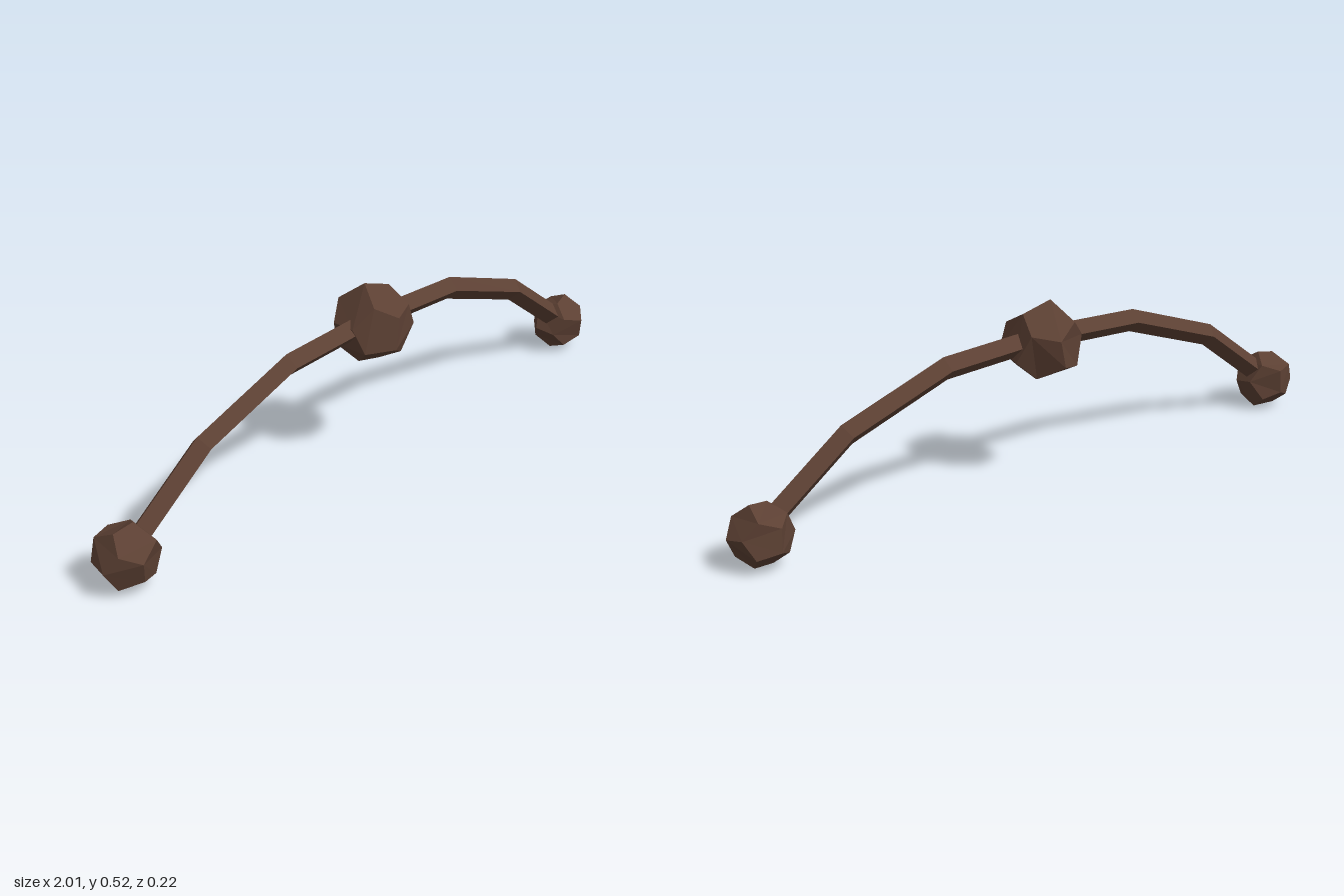
import * as THREE from 'three';

const material = new THREE.MeshStandardMaterial({ color: 0x5c4033, flatShading: true });

// Rough-cut knob: a dodecahedron whose corners are nudged by a repeatable rule
function knob(name, radius, position, quaternion, seed) {
  const geometry = new THREE.DodecahedronGeometry(radius);
  const p = geometry.attributes.position;
  const v = new THREE.Vector3();
  const nudge = (a, b, c) => Math.sin(Math.round(a / radius * 50) * 1.7 + Math.round(b / radius * 50) * 2.9
    + Math.round(c / radius * 50) * 4.3 + seed) * radius * 0.05;
  for (let i = 0; i < p.count; i++) {
    v.fromBufferAttribute(p, i);
    p.setXYZ(i, v.x + nudge(v.x, v.y, v.z), v.y + nudge(v.y, v.z, v.x), v.z + nudge(v.z, v.x, v.y));
  }
  geometry.computeVertexNormals();
  const mesh = new THREE.Mesh(geometry, material);
  mesh.name = name;
  mesh.position.set(...position);
  mesh.quaternion.copy(quaternion);
  return mesh;
}

export function createModel() {
  const group = new THREE.Group();
  group.name = 'archedHandle';

  // Arched rod with a diamond section and six straight lengths
  const half = [[0.92, 0.085], [0.64, 0.287], [0.34, 0.389]];
  const points = [
    ...half.map(([x, y]) => new THREE.Vector3(-x, y, 0)),
    new THREE.Vector3(0, 0.406, 0),
    ...half.map(([x, y]) => new THREE.Vector3(x, y, 0)).reverse(),
  ];
  const rod = new THREE.Mesh(
    new THREE.TubeGeometry(new THREE.CatmullRomCurve3(points), 6, 0.033, 4, false), material);
  rod.name = 'archedRod';
  group.add(rod);

  // Large middle knob, standing on a corner
  const upright = new THREE.Quaternion().setFromUnitVectors(
    new THREE.Vector3(1, 1, 1).normalize(), new THREE.Vector3(-0.15, 1, -0.1).normalize());
  group.add(knob('middleKnob', 0.114, [0, 0.394, 0], upright, 1));

  // Smaller knob at each end
  for (const side of [-1, 1]) {
    const turn = new THREE.Quaternion().setFromEuler(new THREE.Euler(0.12, side * 0.15, 0.08));
    group.add(knob(side > 0 ? 'leftEndKnob' : 'rightEndKnob', 0.089, [side * 0.915, 0.084, -0.004], turn, 2 + side));
  }
  return group;
}
